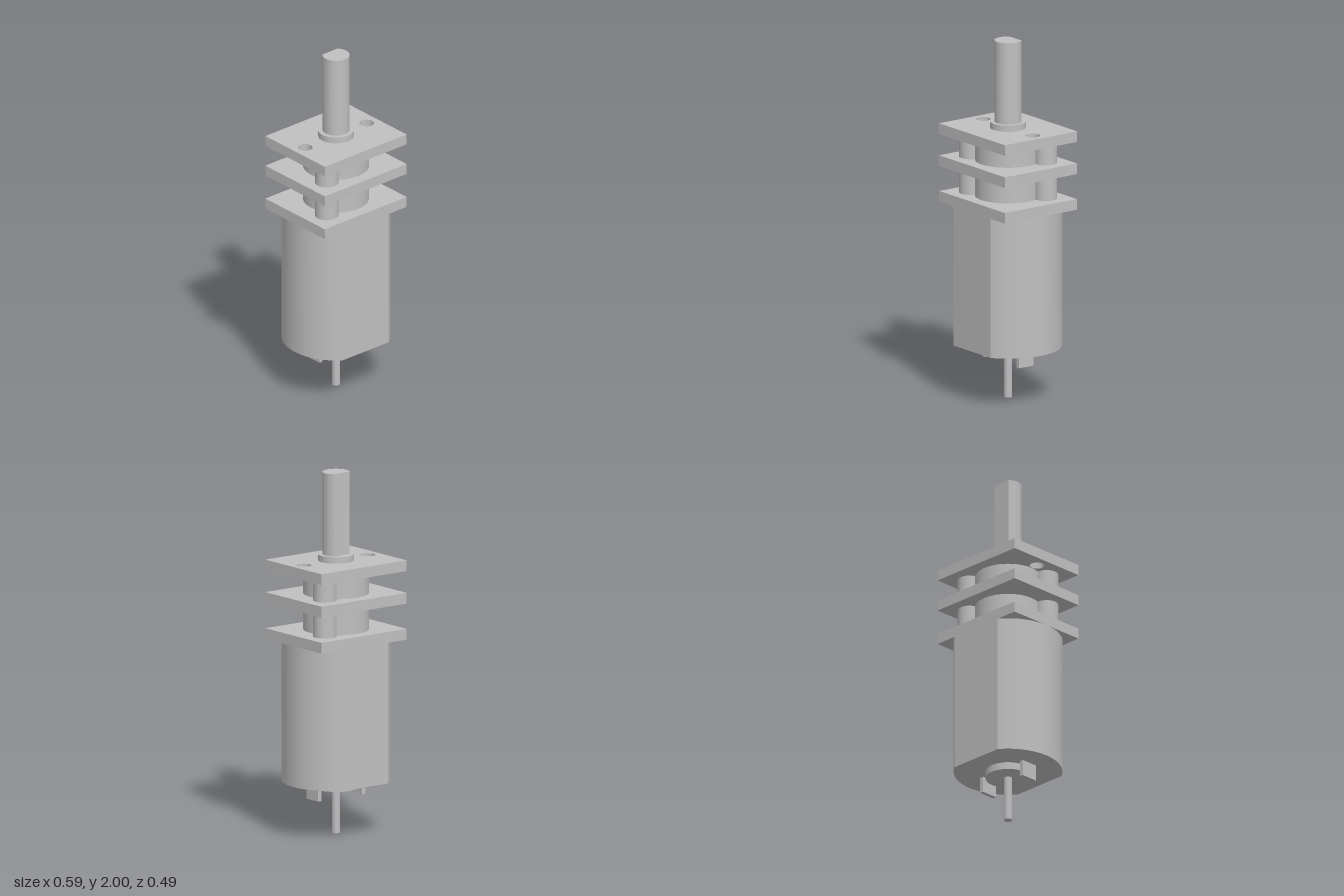
import * as THREE from 'three';
import { toCreasedNormals } from 'three/addons/utils/BufferGeometryUtils.js';

const metal = new THREE.MeshStandardMaterial({ color: 0xc0c0c0 });
metal.name = 'grey metal';

const HALF_W = 0.295, HALF_D = 0.245;

export function createModel() {
  const model = new THREE.Group();
  model.name = 'gearMotor';

  function add(name, geometry, x = 0, y = 0, z = 0) {
    const mesh = new THREE.Mesh(geometry, metal);
    mesh.name = name;
    mesh.position.set(x, y, z);
    model.add(mesh);
  }

  // Upright cylinder spanning y0..y1
  function cylinder(name, r, y0, y1, x = 0, z = 0) {
    add(name, new THREE.CylinderGeometry(r, r, y1 - y0, 64), x, (y0 + y1) / 2, z);
  }

  // Box spanning y0..y1
  function block(name, w, d, y0, y1, x = 0) {
    add(name, new THREE.BoxGeometry(w, y1 - y0, d), x, (y0 + y1) / 2, 0);
  }

  // Extrude a plan outline upwards (outline y becomes -z)
  function extrudeUp(name, shape, y0, y1) {
    const g = new THREE.ExtrudeGeometry(shape, { depth: y1 - y0, bevelEnabled: false, curveSegments: 48 });
    g.rotateX(-Math.PI / 2);
    add(name, toCreasedNormals(g, 0.4), 0, y0, 0);
  }

  // Round outline with a flat at the back and optionally one at the front
  function flattedCircle(r, flat, bothSides) {
    const a = Math.asin(flat / r);
    const shape = new THREE.Shape();
    if (bothSides) {
      shape.absarc(0, 0, r, -a, a, false);
      shape.absarc(0, 0, r, Math.PI - a, Math.PI + a, false);
    } else {
      shape.absarc(0, 0, r, Math.PI - a, 2 * Math.PI + a, false);
    }
    shape.closePath();
    return shape;
  }

  // Motor can, rear boss, rear shaft and terminals
  extrudeUp('motorCan', flattedCircle(HALF_W, HALF_D, true), 0.29, 1.07);
  cylinder('rearBoss', 0.122, 0.25, 0.29);
  cylinder('rearShaft', 0.023, 0, 0.25);
  for (const s of [-1, 1]) block('terminal', 0.022, 0.1, 0.2, 0.29, s * 0.152);

  // Gearbox plates
  block('lowerPlate', HALF_W * 2, HALF_D * 2, 1.07, 1.13);
  block('middlePlate', HALF_W * 2, HALF_D * 2, 1.27, 1.33);

  // Top plate with two mounting holes
  const plate = new THREE.Shape([
    new THREE.Vector2(-HALF_W, -HALF_D), new THREE.Vector2(HALF_W, -HALF_D),
    new THREE.Vector2(HALF_W, HALF_D), new THREE.Vector2(-HALF_W, HALF_D),
  ]);
  for (const s of [-1, 1]) {
    plate.holes.push(new THREE.Path().absarc(s * 0.222, 0, 0.04, 0, Math.PI * 2, true));
  }
  extrudeUp('topPlate', plate, 1.45, 1.51);

  // Gear drums and diagonal spacer posts between the plates
  for (const [y0, y1] of [[1.13, 1.27], [1.33, 1.45]]) {
    cylinder('gearDrum', 0.18, y0, y1);
    for (const s of [-1, 1]) cylinder('spacerPost', 0.064, y0, y1, s * 0.173, -s * 0.122);
  }

  // Output collar and D-shaped shaft
  cylinder('outputCollar', 0.098, 1.51, 1.545);
  extrudeUp('outputShaft', flattedCircle(0.074, 0.05, false), 1.545, 2);

  return model;
}
